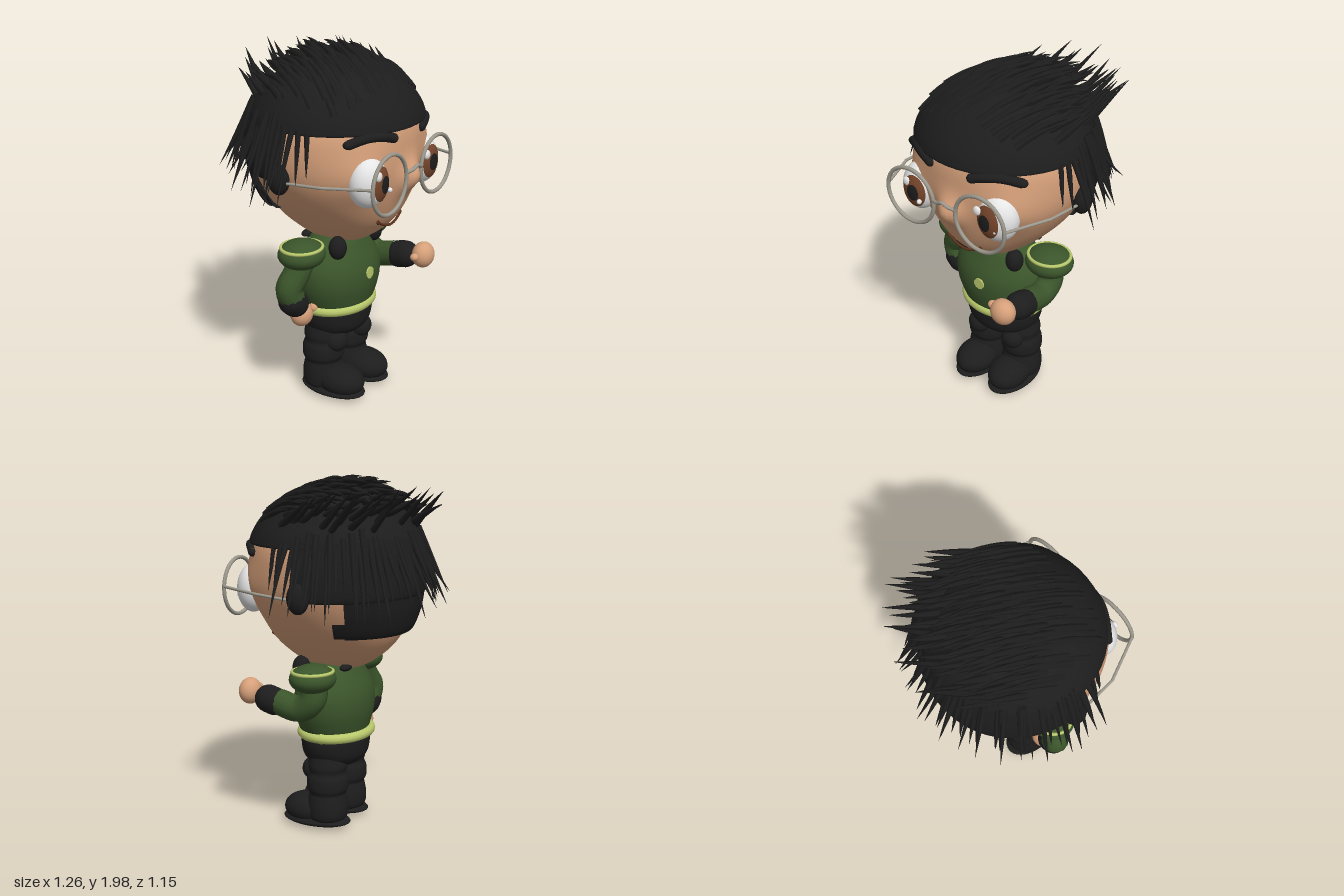
import * as THREE from 'three';
import { mergeGeometries } from 'three/addons/utils/BufferGeometryUtils.js';

const mat = (name, color, side = THREE.FrontSide) => {
  const m = new THREE.MeshStandardMaterial({ color, side });
  m.name = name;
  return m;
};
const V = (x, y, z) => new THREE.Vector3(x, y, z);

export function createModel() {
  const skin = mat('skin', 0xd6a07a), black = mat('black', 0x1d1d1d, THREE.DoubleSide);
  const green = mat('green', 0x3b552b), lime = mat('lime', 0xb9c96c);
  const white = mat('eye white', 0xe6e6e6), brown = mat('iris brown', 0x75452b);
  const metal = mat('metal', 0x9b978c), lip = mat('lip', 0x5c321c);

  const model = new THREE.Group();
  const add = (name, geo, material, pos = [0, 0, 0], parent = model) => {
    const m = new THREE.Mesh(geo, material);
    m.name = name;
    m.position.set(...pos);
    parent.add(m);
    return m;
  };
  const ball = (name, material, pos, radii) => {
    const m = add(name, new THREE.SphereGeometry(1, 32, 20), material, pos);
    m.scale.set(...radii);
    return m;
  };
  const tube = (name, material, pts, r) =>
    add(name, new THREE.TubeGeometry(new THREE.CatmullRomCurve3(pts.map(p => V(...p))), 24, r, 12), material);
  const capsule = (name, material, a, b, r) => {
    const d = V(...b).sub(V(...a)), mid = V(...a).addScaledVector(d, 0.5);
    const m = add(name, new THREE.CapsuleGeometry(r, d.length(), 8, 20), material, mid.toArray());
    m.quaternion.setFromUnitVectors(V(0, 1, 0), d.normalize());
    return m;
  };
  // Elliptical cross-sections [y, rx, rz], bottom to top, optionally only an arc
  const loft = (sections, a0 = 0, a1 = Math.PI * 2, rows = 30, seg = 48) => {
    const curve = new THREE.CatmullRomCurve3(sections.map(s => V(...s)));
    const closed = a1 - a0 > 6.28, cols = closed ? seg : seg + 1, pos = [], idx = [];
    for (let i = 0; i <= rows; i++) {
      const s = curve.getPoint(i / rows);
      for (let j = 0; j < cols; j++) {
        const a = a0 + (a1 - a0) * j / seg;
        pos.push(Math.max(s.y, 0.0005) * Math.cos(a), s.x, Math.max(s.z, 0.0005) * Math.sin(a));
      }
    }
    for (let i = 0; i < rows; i++) for (let j = 0; j < seg; j++) {
      const a = i * cols + j, b = i * cols + (j + 1) % cols;
      idx.push(a, a + cols, b, a + cols, b + cols, b);
    }
    const g = new THREE.BufferGeometry();
    g.setAttribute('position', new THREE.Float32BufferAttribute(pos, 3));
    g.setIndex(idx);
    g.computeVertexNormals();
    return g;
  };

  // Head, with a soft nose and eye sockets swelling out of the face
  const hz = 0.055;
  const head = loft([[0.905, 0, 0], [0.925, 0.1, 0.15], [1.0, 0.2, 0.275], [1.08, 0.285, 0.355], [1.2, 0.385, 0.415],
    [1.36, 0.47, 0.455], [1.5, 0.49, 0.465], [1.62, 0.475, 0.455], [1.75, 0.4, 0.39], [1.85, 0.26, 0.26], [1.9, 0, 0]],
    0, Math.PI * 2, 70, 128);
  const hp = head.attributes.position;
  const bump = (u, v) => Math.exp(-u * u - v * v);
  for (let i = 0; i < hp.count; i++) {
    const x = hp.getX(i), y = hp.getY(i), z = hp.getZ(i);
    if (z < 0) continue;
    const swell = 1 + 0.07 * bump((Math.abs(x) - 0.3) / 0.11, (y - 1.38) / 0.14) * Math.min(1, z / 0.2);
    hp.setXYZ(i, x * swell, y, z * swell + 0.07 * bump(x / 0.075, (y - 1.345) / 0.085));
  }
  head.computeVertexNormals();
  add('head', head, skin, [0, 0, hz]);
  tube('mouth', lip, [[-0.11, 1.095, 0.404], [-0.06, 1.068, 0.407], [0, 1.057, 0.411], [0.05, 1.066, 0.409], [0.1, 1.095, 0.407]], 0.007);
  for (const x of [-0.113, 0.103]) ball('mouthCorner', lip, [x, 1.098, 0.402], [0.008, 0.015, 0.01]);

  // Eyes: white, then iris, pupil and glints as thin caps
  const cap = (name, material, eye, yaw, angle, size) => {
    const g = new THREE.SphereGeometry(size, 32, 8, 0, Math.PI * 2, 0, angle);
    g.rotateX(Math.PI / 2).rotateY(yaw);
    add(name, g, material, [0, 0, 0], eye);
  };
  for (const s of [-1, 1]) {
    const eye = new THREE.Group();
    eye.name = 'eye';
    eye.position.set(s * 0.262 - 0.006, 1.37, 0.437);
    eye.rotation.y = s * 0.4;
    eye.scale.set(0.11, 0.135, 0.09);
    model.add(eye);
    add('eyeWhite', new THREE.SphereGeometry(1, 32, 24), white, [0, 0, 0], eye);
    cap('iris', brown, eye, -s * 0.55, 0.74, 1.025);
    cap('pupil', black, eye, -s * 0.55, 0.34, 1.05);
    ball('largeGlint', white, [s * 0.236 - 0.055, 1.42, 0.518], [0.024, 0.026, 0.014]);
    ball('smallGlint', white, [s * 0.236 + 0.042 + s * 0.008, 1.33, 0.517 - s * 0.01], [0.013, 0.014, 0.014]);
    // Eyebrow and ear
    tube('eyebrow', black, [[s * 0.135, 1.585, 0.5], [s * 0.2, 1.603, 0.48], [s * 0.28, 1.605, 0.435], [s * 0.36, 1.578, 0.375]], 0.026);
    ball('eyebrowInnerEnd', black, [s * 0.135, 1.585, 0.5], [0.026, 0.026, 0.026]);
    ball('eyebrowOuterEnd', black, [s * 0.36, 1.578, 0.375], [0.028, 0.022, 0.026]);
    ball('ear', black, [s * 0.492, 1.37, 0.035], [0.05, 0.085, 0.062]);
    // Glasses side
    add('lensRim', new THREE.TorusGeometry(0.158, 0.011, 10, 48), metal, [s * 0.23 - 0.008, 1.37, 0.55]);
    const hinge = [s * 0.39 - 0.008, 1.385, 0.55], bend = [s * 0.487 - 0.008, 1.375, 0.3];
    capsule('templeFront', metal, hinge, bend, 0.008);
    capsule('templeBack', metal, bend, [s * 0.5, 1.355, 0.04], 0.008);
  }
  tube('glassesBridge', metal, [[-0.085, 1.395, 0.55], [-0.04, 1.405, 0.565], [-0.005, 1.42, 0.57], [0.03, 1.405, 0.565], [0.07, 1.395, 0.55]], 0.01);

  // Hair cap: a dome with a straight hem, plus the longer shell at the back
  const RX = 0.487, RZ = 0.475;
  const dome = r => 1.62 + 0.325 * Math.pow(Math.max(0, 1 - r * r), 0.65);
  const rho = (x, z) => Math.hypot(x / RX, (z - hz) / RZ);
  const rings = [[1.625, 0.44, 0.43]];
  for (const r of [1, 0.985, 0.95, 0.88, 0.78, 0.65, 0.5, 0.33, 0.16, 0]) rings.push([dome(r), RX * r, RZ * r]);
  add('hairCap', loft(rings, 0, Math.PI * 2, 44), black, [0, 0, hz]);
  add('hairBackUpper', loft([[1.345, 0.47, 0.45], [1.35, 0.497, 0.492], [1.5, 0.507, 0.5], [1.66, 0.48, 0.47]],
    Math.PI, Math.PI * 2), black, [0, 0, hz]);
  add('hairBackLower', loft([[1.145, 0.33, 0.36], [1.14, 0.385, 0.425], [1.25, 0.455, 0.475], [1.37, 0.499, 0.494]],
    Math.PI + 0.53, Math.PI * 2 - 0.53), black, [0, 0, hz]);
  add('hairBackStep', loft([[1.142, 0.33, 0.35], [1.142, 0.375, 0.4], [1.2, 0.42, 0.43], [1.23, 0.435, 0.44]],
    Math.PI + 0.4, Math.PI * 2 - 0.4), black, [0, 0, hz]);

  // Spikes: tubes along a bend, tapered to a point
  let seed = 11;
  const rnd = (a, b) => a + (b - a) * ((seed = (seed * 16807) % 2147483647) / 2147483647);
  const spike = (a, b, c, r) => {
    const curve = new THREE.QuadraticBezierCurve3(a, b, c), n = 6, k = 6;
    const g = new THREE.TubeGeometry(curve, n, r, k), p = g.attributes.position, v = V(0, 0, 0);
    for (let i = 0; i < p.count; i++) {
      const t = Math.floor(i / (k + 1)) / n, o = curve.getPointAt(t);
      v.fromBufferAttribute(p, i).sub(o).multiplyScalar(1.02 - Math.pow(t, 1.6)).add(o);
      p.setXYZ(i, v.x, v.y, v.z);
    }
    return g;
  };
  const swept = [], hanging = [];
  // Swept top strands run towards the back left and stand up there
  for (let gx = -0.44; gx < 0.45; gx += 0.05) for (let gz = -0.36; gz < 0.4; gz += 0.08) {
    const x = gx + rnd(-0.02, 0.02), z = gz + rnd(-0.03, 0.03);
    if (rho(x, z) > 0.92) continue;
    const dx = 0.46, dz = -0.87;
    const back = THREE.MathUtils.clamp((x * dx * 1.3 + z * dz + 0.27) / 0.45, 0, 1);
    const L = rnd(0.25, 0.34) * (1 - 0.25 * back), lift = 0.012 + back * rnd(0.09, 0.2);
    const at = (t, up) => {
      const px = x + dx * L * t, pz = z + dz * L * t;
      return V(px, dome(Math.min(rho(px, pz), 0.9)) + up, pz);
    };
    swept.push(spike(at(0, -0.015), at(0.5, 0.012 + lift * 0.45), at(1, lift), rnd(0.017, 0.023)));
  }
  add('sweptHair', mergeGeometries(swept), black);
  // Hanging strands round the sides and back
  for (let layer = 0; layer < 2; layer++) for (let i = 0; i <= 26; i++) {
    const a = Math.PI * (1.01 + 0.98 * i / 26) + rnd(-0.05, 0.05);
    const at = (f, y) => V(RX * f * Math.cos(a), y, hz + RZ * f * Math.sin(a));
    const top = rnd(1.6, 1.7) + layer * 0.04, out = rnd(1.14, 1.34);
    hanging.push(spike(at(0.95, top), at(1.09, top - 0.15), at(out, rnd(1.22, 1.38) + layer * 0.05), rnd(0.015, 0.02)));
  }
  // Sideburn wisps
  for (const s of [-1, 1]) for (const [z, y, out] of [[0.085, 1.34, 0.09], [0.13, 1.28, 0.15], [0.165, 1.36, 0.05], [0.21, 1.4, 0.03]]) {
    const x = RX * Math.sqrt(1 - ((z - hz) / RZ) ** 2);
    hanging.push(spike(V(s * (x - 0.01), 1.64, z - 0.02), V(s * (x + out * 0.4), 1.53, z - 0.01), V(s * (x + out), y, z), 0.016));
  }
  add('hangingHair', mergeGeometries(hanging), black);

  // Torso, belt and chest button
  add('torso', loft([[0.5, 0.2, 0.17], [0.58, 0.245, 0.195], [0.68, 0.28, 0.215], [0.78, 0.28, 0.21],
    [0.88, 0.23, 0.17], [0.95, 0.15, 0.13], [0.99, 0, 0]]), green, [-0.01, 0, 0.07]);
  const belt = add('belt', new THREE.TorusGeometry(0.23, 0.028, 12, 48), lime, [-0.01, 0.54, 0.06]);
  belt.rotation.x = Math.PI / 2;
  belt.scale.y = 0.83;
  ball('beltKnot', lime, [0.215, 0.54, 0.04], [0.03, 0.033, 0.035]);
  const button = add('chestButton', new THREE.CylinderGeometry(0.034, 0.034, 0.03, 10), lime, [-0.008, 0.742, 0.275]);
  button.rotation.x = Math.PI / 2;

  // Shoulder pads and strap ends
  for (const s of [-1, 1]) {
    const x = s * 0.312 - 0.01;
    ball('shoulderPad', green, [x, 0.903, 0.05], [0.139, 0.08, 0.127]);
    const trim = add('shoulderTrim', new THREE.TorusGeometry(0.12, 0.01, 8, 40), lime, [x, 0.943, 0.05]);
    trim.rotation.x = Math.PI / 2;
    trim.scale.y = 0.91;
    ball('frontStrap', black, [s * 0.175 - 0.008, 0.925, 0.19], [0.05, 0.067, 0.05]);
    ball('backStrap', black, [s * 0.115, 0.937, -0.06], [0.05, 0.02, 0.03]);
  }

  // Left arm reaching forward, right arm with hand on the hip
  tube('leftArm', green, [[0.29, 0.89, 0.04], [0.308, 0.78, 0.05], [0.305, 0.725, 0.13], [0.303, 0.75, 0.26]], 0.074);
  capsule('leftCuff', black, [0.304, 0.75, 0.285], [0.302, 0.76, 0.325], 0.078);
  ball('leftHand', skin, [0.29, 0.79, 0.45], [0.073, 0.075, 0.062]);
  ball('leftThumb', skin, [0.21, 0.797, 0.44], [0.024, 0.022, 0.024]);
  tube('rightArm', green, [[-0.31, 0.89, 0.05], [-0.355, 0.8, 0.04], [-0.4, 0.715, 0.02], [-0.375, 0.64, 0.025]], 0.074);
  capsule('rightCuff', black, [-0.38, 0.637, 0.025], [-0.358, 0.617, 0.027], 0.077);
  ball('rightHand', skin, [-0.295, 0.53, 0.025], [0.068, 0.072, 0.062]);
  ball('rightThumb', skin, [-0.25, 0.565, 0.075], [0.025, 0.028, 0.025]);

  // Trousers and boots
  add('hips', loft([[0.33, 0, 0], [0.345, 0.12, 0.1], [0.4, 0.205, 0.17], [0.47, 0.235, 0.185], [0.53, 0.23, 0.18], [0.55, 0, 0]]),
    black, [-0.005, 0, 0.06]);
  for (const s of [-1, 1]) {
    const x = s * 0.122 - 0.004;
    add('leg', loft([[0.03, 0.08, 0.08], [0.06, 0.115, 0.11], [0.12, 0.12, 0.118], [0.18, 0.112, 0.108], [0.2, 0.108, 0.104],
      [0.23, 0.119, 0.118], [0.29, 0.117, 0.118], [0.325, 0.105, 0.105], [0.36, 0.108, 0.112], [0.42, 0.095, 0.1]],
      0, Math.PI * 2, 48, 32), black, [x, 0, 0.053]);
    ball('kneePad', black, [x, 0.33, 0.14], [0.07, 0.068, 0.065]);
    ball('bootToe', black, [x, 0.09, 0.17], [0.115, 0.092, 0.15]);
    ball('sole', black, [x, 0.033, 0.122], [0.122, 0.033, 0.205]);
  }
  return model;
}
